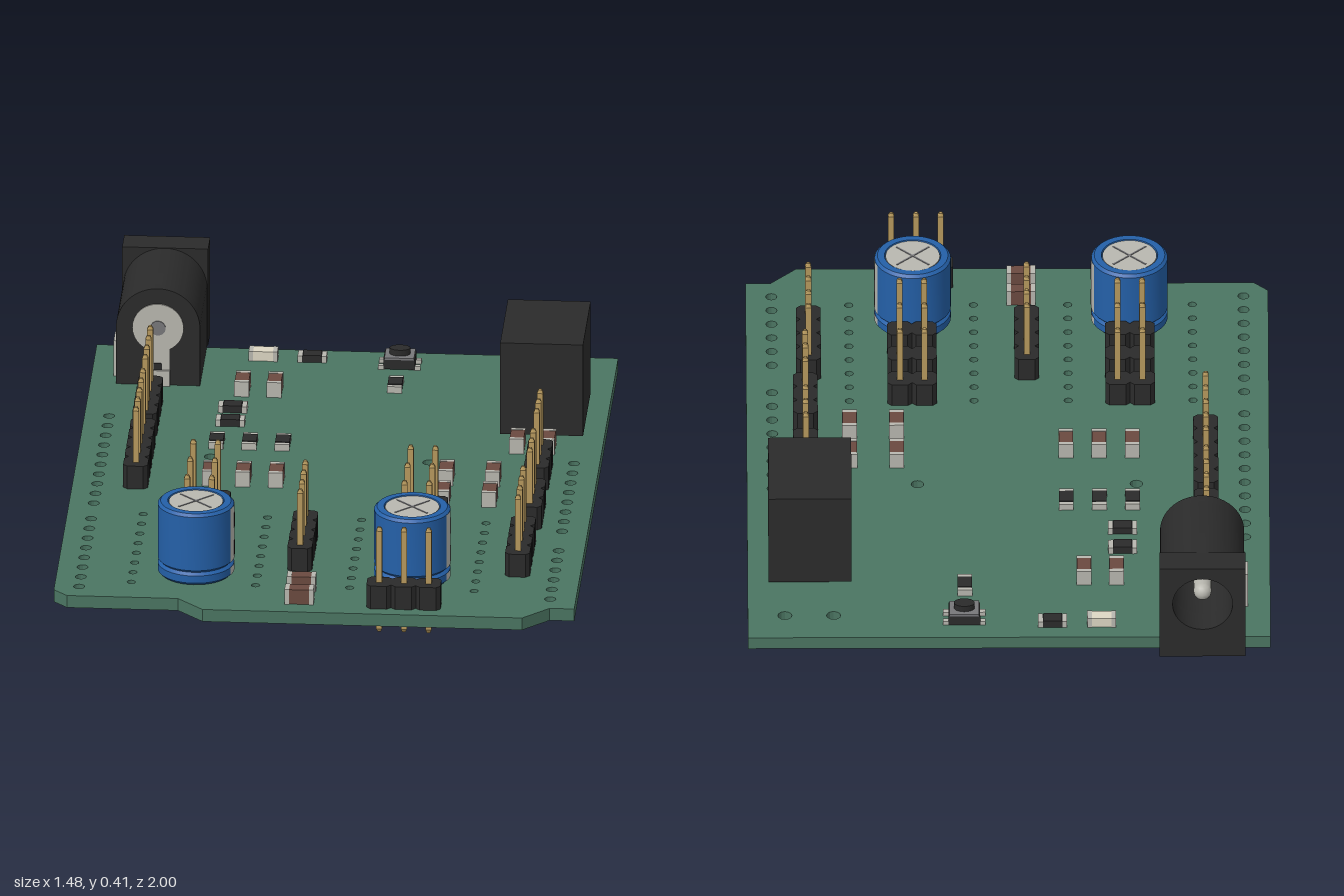
import * as THREE from 'three';
import { toCreasedNormals } from 'three/addons/utils/BufferGeometryUtils.js';

const mat = (color, side = THREE.FrontSide) => new THREE.MeshStandardMaterial({ color, side });
const M = {
  board: mat(0x4b7562), black: mat(0x2b2b2b), gold: mat(0xb89a5e), blue: mat(0x2460a8),
  silver: mat(0xb9b8b0, THREE.DoubleSide), brown: mat(0x6b4a40), cream: mat(0xded8c4), grey: mat(0x77777a),
};
const TOP = 0.112, BOTTOM = 0.075, PITCH = 0.07;

function add(parent, name, geo, material, x = 0, y = 0, z = 0) {
  const m = new THREE.Mesh(geo, material);
  m.name = name;
  m.position.set(x, y, z);
  parent.add(m);
  return m;
}
const box = (w, h, d) => new THREE.BoxGeometry(w, h, d);
const group = (parent, name, x = 0, y = 0, z = 0) => {
  const g = new THREE.Group();
  g.name = name;
  g.position.set(x, y, z);
  parent.add(g);
  return g;
};
const shapeOf = (pts) => new THREE.Shape(pts.map((p) => new THREE.Vector2(...p)));
const holeAt = (shape, x, y, r) => shape.holes.push(new THREE.Path().absarc(x, y, r, 0, Math.PI * 2, true));
const extrude = (shape, depth, curveSegments = 16) =>
  new THREE.ExtrudeGeometry(shape, { depth, bevelEnabled: false, curveSegments });

// Drilled circuit board
function buildBoard(root) {
  const s = shapeOf([[-0.74, -0.9], [0.74, -0.9], [0.74, 0.925], [0.67, 0.925], [0.597, 1], [-0.31, 1],
    [-0.385, 0.925], [-0.7, 0.925], [-0.74, 0.885]]);
  const rows = [ // x, first z, count, radius
    [-0.67, -0.385, 10, 0.016], [-0.67, 0.363, 8, 0.016], [0.667, -0.13, 8, 0.016], [0.667, 0.505, 6, 0.016],
    [-0.525, 0.32, 8, 0.012], [-0.172, 0.32, 8, 0.012], [0.095, 0.32, 8, 0.012], [0.448, 0.32, 8, 0.012],
    [0.497, -0.785, 1, 0.02], [0.635, -0.785, 1, 0.02], [-0.363, -0.11, 1, 0.018], [0.257, -0.11, 1, 0.018],
  ];
  for (const [x, z, n, r] of rows) for (let i = 0; i < n; i++) holeAt(s, x, z + i * 0.0705, r);
  add(root, 'circuitBoard', extrude(s, TOP - BOTTOM, 6).rotateX(Math.PI / 2), M.board, 0, TOP, 0);
}

// Row of pins in chamfered housings, running along z or x
function header(root, x, z, count, alongX = false) {
  const g = group(root, 'pinHeader', x, 0, z);
  const h = PITCH / 2, c = 0.012;
  const s = shapeOf([[-h, c - h], [c - h, -h], [h - c, -h], [h, c - h], [h, h - c], [h - c, h], [c - h, h], [-h, h - c]]);
  const housing = extrude(s, 0.07).rotateX(Math.PI / 2);
  const pin = box(0.017, 0.3, 0.017);
  const tip = new THREE.CylinderGeometry(0.006, 0.012, 0.01, 4).rotateY(Math.PI / 4);
  for (let i = 0; i < count; i++) {
    const p = (i - (count - 1) / 2) * PITCH;
    add(g, 'housing', housing, M.black, 0, TOP + 0.07, p);
    add(g, 'pin', pin, M.gold, 0, 0.19, p);
    add(g, 'pinTip', tip, M.gold, 0, 0.345, p);
    add(g, 'pinTipLower', tip, M.gold, 0, 0.035, p).rotation.x = Math.PI;
  }
  if (alongX) g.rotation.y = Math.PI / 2;
}

// Surface-mount chip with metal end caps
function chip(root, name, material, h, x, z, alongX, under = false) {
  const g = group(root, name, x, under ? BOTTOM - h / 2 : TOP + h / 2, z);
  add(g, 'body', box(0.056, h * 0.96, 0.04), material);
  for (const e of [-1, 1]) add(g, 'endCap', box(0.013, h, 0.042), M.silver, e * 0.0345);
  if (material === M.black) // raised dark coat between the ends
    add(g, 'coat', box(0.052, 0.004, 0.041), M.black, 0, (under ? -1 : 1) * h / 2);
  if (!alongX) g.rotation.y = Math.PI / 2;
}

// Can capacitor with crimp, polarity stripe and scored lid
function canCapacitor(root, x, z) {
  const g = group(root, 'canCapacitor', x, TOP, z);
  const profile = [[0, 0.004], [0.1, 0.004], [0.108, 0.012], [0.108, 0.034], [0.1, 0.042], [0.108, 0.05],
    [0.108, 0.214], [0.1, 0.222], [0.08, 0.222], [0.078, 0.216], [0, 0.216]].map((p) => new THREE.Vector2(...p));
  add(g, 'sleeve', toCreasedNormals(new THREE.LatheGeometry(profile, 40), 0.5), M.blue);
  add(g, 'lid', new THREE.CylinderGeometry(0.077, 0.077, 0.004, 32), M.silver, 0, 0.218, 0);
  for (const a of [0, Math.PI / 2])
    add(g, 'lidScore', box(0.13, 0.002, 0.005), M.grey, 0, 0.2205, 0).rotation.y = a + Math.PI / 4;
  const stripe = (y, h) => add(g, 'stripe',
    new THREE.CylinderGeometry(0.109, 0.109, h, 10, 1, true, Math.PI / 2 - 0.4, 0.8), M.silver, 0, y, 0);
  stripe(0.132, 0.164);
  stripe(0.023, 0.022);
  for (const y of [0.08, 0.165]) add(g, 'stripeMark', box(0.004, 0.045, 0.012), M.black, 0.108, y, 0);
  for (const e of [-1, 1])
    add(g, 'lead', new THREE.CylinderGeometry(0.008, 0.008, 0.055, 8), M.silver, e * 0.035, -0.026, 0);
}

// Flat solder lug with a ringed lower end
function lug(parent, x, z, top, sideways) {
  const s = new THREE.Shape();
  s.moveTo(0.034, top);
  s.lineTo(-0.034, top);
  s.lineTo(-0.034, 0.05);
  s.absarc(0, 0.046, 0.034, Math.PI, Math.PI * 2, false);
  holeAt(s, 0, 0.046, 0.018);
  const m = add(parent, 'solderLug', extrude(s, 0.008), M.silver, x, 0, z);
  if (sideways) m.rotation.y = Math.PI / 2;
}

// Round power socket facing the back edge
function powerSocket(root) {
  const g = group(root, 'powerSocket', -0.547, 0, 0);
  const w = 0.122, cy = 0.288;
  const outline = (r) => {
    const s = new THREE.Shape();
    s.moveTo(-r, TOP);
    s.lineTo(r, TOP);
    s.lineTo(r, cy);
    s.absarc(0, cy, r, 0, Math.PI, false);
    return s;
  };
  const shell = outline(0.119);
  holeAt(shell, 0, cy, 0.085);
  add(g, 'barrel', toCreasedNormals(extrude(shell, 0.27, 20), 0.5), M.black, 0, 0, -0.92);
  add(g, 'barrelEnd', toCreasedNormals(extrude(outline(0.119), 0.03, 20), 0.5), M.black, 0, 0, -0.65);
  const plate = shapeOf([[-w, TOP], [w, TOP], [w, 0.408], [-w, 0.408]]);
  holeAt(plate, 0, cy, 0.085);
  add(g, 'facePlate', toCreasedNormals(extrude(plate, 0.085, 20), 0.5), M.black, 0, 0, -1);
  add(g, 'centrePin', new THREE.CylinderGeometry(0.026, 0.026, 0.28, 16).rotateX(Math.PI / 2), M.silver, 0, cy, -0.79);
  add(g, 'centrePinTip', new THREE.SphereGeometry(0.026, 16, 8), M.silver, 0, cy, -0.93);
  // Contact plate on the inner end
  add(g, 'contactDisc', new THREE.CylinderGeometry(0.073, 0.073, 0.006, 32).rotateX(Math.PI / 2), M.silver, 0, cy, -0.619);
  add(g, 'contactStrip', box(0.068, 0.16, 0.006), M.silver, 0, 0.2, -0.619);
  add(g, 'contactSlot', box(0.022, 0.03, 0.008), M.black, 0, 0.165, -0.618);
  add(g, 'contactRivet', new THREE.CylinderGeometry(0.022, 0.022, 0.01, 16).rotateX(Math.PI / 2), M.grey, 0, cy, -0.618);
  lug(g, 0, -0.616, 0.16, false);
  lug(g, 0, -0.785, 0.13, false);
  lug(g, -0.13, -0.71, 0.22, true);
}

// Relay block with three legs
function relay(root) {
  const g = group(root, 'relay');
  add(g, 'relayCase', box(0.235, 0.28, 0.317), M.black, 0.563, 0.261, -0.467);
  for (const z of [-0.385, -0.46, -0.535]) add(g, 'relayLeg', box(0.012, 0.16, 0.008), M.silver, 0.5, 0.083, z);
}

// Small push button
function pushButton(root) {
  const g = group(root, 'pushButton', 0.127, TOP, -0.805);
  add(g, 'base', box(0.09, 0.03, 0.07), M.black, 0, 0.018, 0);
  add(g, 'cover', box(0.084, 0.006, 0.072), M.grey, 0, 0.035, 0);
  const cap = new THREE.CylinderGeometry(0.021, 0.021, 0.02, 20).scale(1.4, 1, 1);
  add(g, 'plunger', cap, M.black, 0, 0.046, 0);
  for (const x of [-1, 1]) for (const z of [-1, 1])
    add(g, 'buttonLeg', box(0.02, 0.012, 0.016), M.silver, x * 0.05, 0.006, z * 0.024);
}

export function createModel() {
  const root = new THREE.Group();
  root.name = 'motorDriverBoard';
  buildBoard(root);

  for (const [x, z, n] of [[-0.56, -0.38, 4], [-0.56, -0.035, 5], [0.573, -0.03, 3], [0.573, 0.255, 3],
    [0.563, 0.565, 4], [-0.055, 0.565, 4]]) header(root, x, z, n);
  for (const x of [-0.347, 0.27]) for (const z of [0.33, 0.46, 0.587]) header(root, x, z, 2, true);
  header(root, 0.257, 0.928, 3, true);

  for (const x of [-0.347, 0.267]) canCapacitor(root, x, 0.732);
  powerSocket(root);
  relay(root);
  pushButton(root);

  // Chip capacitors
  for (const [x, z] of [[-0.305, -0.59], [-0.213, -0.59], [-0.352, 0.064], [-0.258, 0.064], [-0.164, 0.064],
    [0.315, 0.015], [0.448, 0.015], [0.315, 0.165], [0.448, 0.165], [0.5, -0.228], [0.587, -0.228]])
    chip(root, 'chipCapacitor', M.brown, 0.046, x, z, false);
  for (const z of [0.832, 0.926]) chip(root, 'chipCapacitor', M.brown, 0.046, -0.04, z, true);
  for (const z of [0.04, 0.12]) chip(root, 'lowerChipCapacitor', M.brown, 0.046, -0.143, z, true, true);

  // Chip resistors and indicator light
  for (const [x, z] of [[0.125, -0.645], [-0.352, -0.205], [-0.258, -0.205], [-0.164, -0.205]])
    chip(root, 'chipResistor', M.black, 0.02, x, z, false);
  for (const [x, z] of [[-0.123, -0.83], [-0.323, -0.45], [-0.323, -0.35]])
    chip(root, 'chipResistor', M.black, 0.02, x, z, true);
  for (const x of [-0.28, 0.12]) chip(root, 'lowerChipResistor', M.black, 0.02, x, 0.08, true, true);
  chip(root, 'indicatorLight', M.cream, 0.03, -0.262, -0.83, true);
  return root;
}
